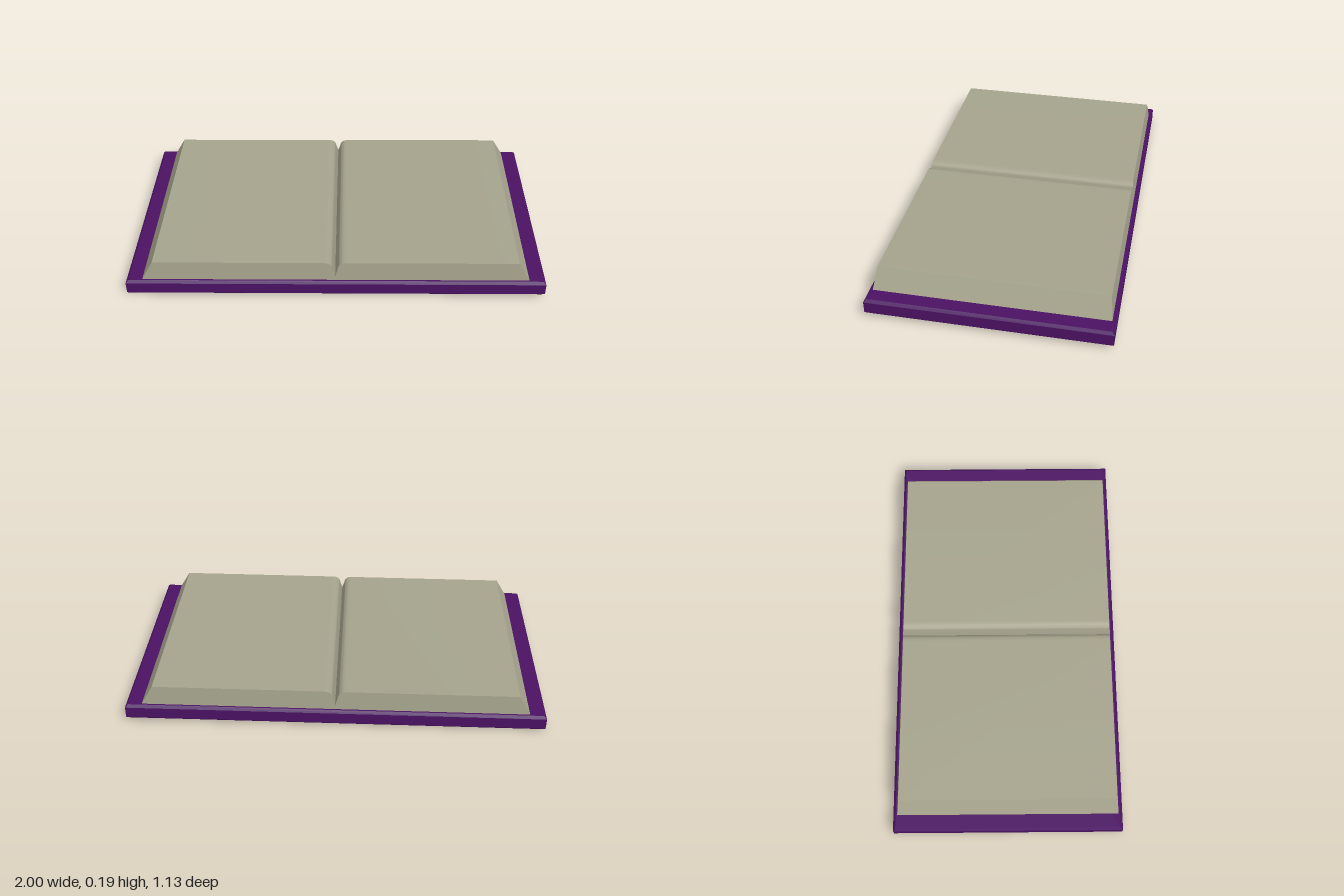
import * as THREE from 'three';
import { toCreasedNormals } from 'three/addons/utils/BufferGeometryUtils.js';

const COVER_TOP = 0.08, PAGE_TOP = 0.173;

// Flat board with chamfered upper and lower rims
function coverGeometry(width, depth, bevel) {
  const w = width / 2 - bevel, d = depth / 2 - bevel;
  const shape = new THREE.Shape([
    new THREE.Vector2(-w, -d), new THREE.Vector2(w, -d),
    new THREE.Vector2(w, d), new THREE.Vector2(-w, d),
  ]);
  const geo = new THREE.ExtrudeGeometry(shape, {
    depth: COVER_TOP - 2 * bevel, bevelEnabled: true,
    bevelSize: bevel, bevelThickness: bevel, bevelSegments: 1,
  });
  return geo.translate(0, 0, bevel).rotateX(-Math.PI / 2).translate(0, COVER_TOP - geo.boundingBoxMax || 0, 0);
}

// One half of the page block: slanted fore edge, rounded gutter, tapered head and tail
function pagesGeometry(side) {
  const base = COVER_TOP - 0.004, half = 0.541, inset = 0.013;
  const shape = new THREE.Shape();
  shape.moveTo(0, base);
  shape.lineTo(side * 0.922, base);
  shape.lineTo(side * 0.865, PAGE_TOP);
  shape.lineTo(side * 0.055, PAGE_TOP);
  shape.bezierCurveTo(side * 0.02, PAGE_TOP, side * 0.014, 0.155, side * 0.011, 0.135);
  shape.lineTo(0, 0.1);
  const geo = new THREE.ExtrudeGeometry(shape, { depth: 2 * half, bevelEnabled: false, curveSegments: 8 });
  geo.translate(0, 0, -half);
  const p = geo.attributes.position;
  for (let i = 0; i < p.count; i++) {
    const t = (p.getY(i) - base) / (PAGE_TOP - base);
    p.setZ(i, Math.sign(p.getZ(i)) * (half - inset * t));
  }
  return toCreasedNormals(geo, 0.5);
}

export function createModel() {
  const model = new THREE.Group();
  const book = new THREE.Group();
  book.name = 'openBook';

  const coverMat = new THREE.MeshStandardMaterial({ color: 0x4b1263 });
  const pageMat = new THREE.MeshStandardMaterial({ color: 0xa5a38c });

  const cover = new THREE.Mesh(coverGeometry(1.995, 1.12, 0.012), coverMat);
  cover.name = 'cover';
  book.add(cover);

  for (const side of [-1, 1]) {
    const pages = new THREE.Mesh(pagesGeometry(side), pageMat);
    pages.name = side > 0 ? 'leftPages' : 'rightPages';
    book.add(pages);
  }

  // The book lies very slightly tilted and turned
  book.rotation.set(0, 0.005, 0.008);
  book.position.y = 0.009;
  model.add(book);
  return model;
}
